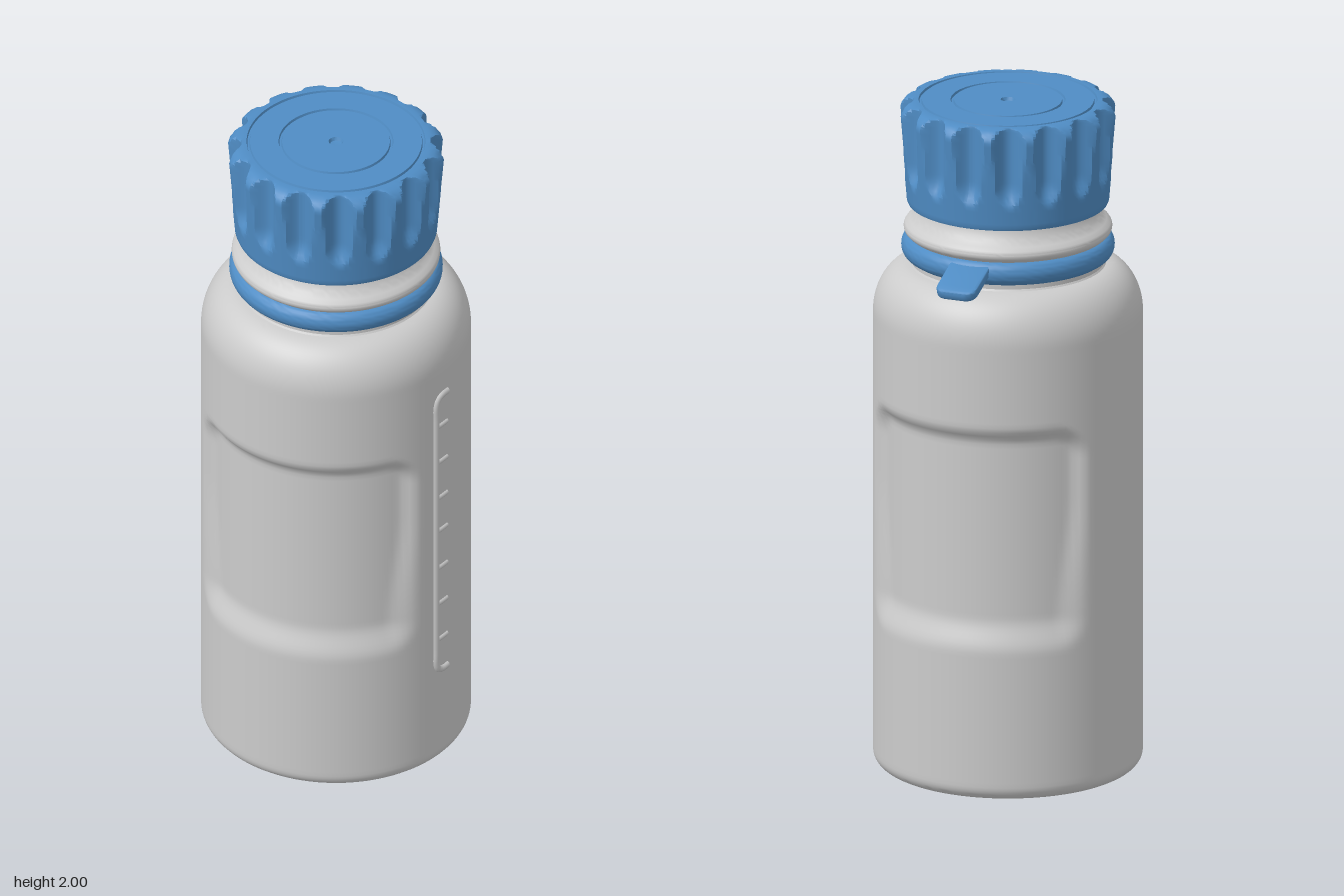
import * as THREE from 'three';
import { mergeVertices, toCreasedNormals } from 'three/addons/utils/BufferGeometryUtils.js';

const R = 0.388; // body radius
const grey = new THREE.MeshStandardMaterial({ color: 0xcccccc });
const blue = new THREE.MeshStandardMaterial({ color: 0x4f8cc4 });

const mesh = (name, geometry, material) => {
  const m = new THREE.Mesh(geometry, material);
  m.name = name;
  return m;
};

// Splits long vertical runs of a profile so that a rule can shape them
function subdivide(points, step) {
  const out = [];
  points.forEach(([r, y], i) => {
    if (i) {
      const [r0, y0] = points[i - 1];
      const n = Math.max(1, Math.ceil(Math.abs(y - y0) / step));
      for (let k = 1; k < n; k++) out.push(new THREE.Vector2(r0 + (r - r0) * k / n, y0 + (y - y0) * k / n));
    }
    out.push(new THREE.Vector2(r, y));
  });
  return out;
}

// Turned part whose radius may be changed by rule(radius, y, angle)
function turned(points, segments, step, rule, crease = 0.6) {
  let g = new THREE.LatheGeometry(subdivide(points, step), segments);
  const p = g.attributes.position;
  if (rule) for (let i = 0; i < p.count; i++) {
    const x = p.getX(i), y = p.getY(i), z = p.getZ(i);
    const r = Math.hypot(x, z);
    if (r < 1e-4) continue;
    const k = rule(r, y, Math.atan2(x, z)) / r;
    p.setXYZ(i, x * k, y, z * k);
  }
  g.deleteAttribute('uv');
  g.deleteAttribute('normal');
  g = mergeVertices(g, 1e-5);
  return toCreasedNormals(g, crease);
}

// Points on a circular arc, angles in degrees
const arc = (cr, cy, rr, ry, from, to, n) => Array.from({ length: n + 1 }, (_, i) => {
  const a = THREE.MathUtils.degToRad(from + (to - from) * i / n);
  return [cr + rr * Math.cos(a), cy + ry * Math.sin(a)];
});

// Rounded rectangular grip panels, pressed into front and back
function gripPanel(r, y, angle) {
  if (y < 0.35 || y > 1.2) return r;
  const a = Math.abs(angle);
  const u = Math.min(a, Math.PI - a) * R;
  const corner = 0.1;
  const qx = u - 0.395 + corner, qy = Math.abs(y - 0.785) - 0.34 + corner;
  const d = Math.hypot(Math.max(qx, 0), Math.max(qy, 0)) + Math.min(Math.max(qx, qy), 0) - corner;
  const soft = THREE.MathUtils.lerp(0.1, 0.05, THREE.MathUtils.smoothstep(y, 0.5, 0.9));
  return r - 0.028 * THREE.MathUtils.smoothstep(-d, 0, soft);
}

// Sixteen scooped flutes that run out towards the lower rim
function flutes(r, y, angle) {
  if (y < 1.7 || r < 0.268) return r;
  const pitch = Math.PI / 8;
  const a = (angle - Math.round(angle / pitch) * pitch) * 0.3;
  const runOut = 0.022 * Math.max(0, (1.83 - y) / 0.06) ** 2;
  return Math.min(r, 0.272 + 20 * a * a + runOut);
}

// Bracket and tick marks wrapped on the body's left side
function scale() {
  const group = new THREE.Group();
  group.name = 'volumeScale';
  const onBody = (z, y) => new THREE.Vector3(Math.sqrt(R * R - z * z) - 0.003, y, z);
  const line = (name, pts, radius, n) => {
    const curve = new THREE.CatmullRomCurve3(pts.map(([z, y]) => onBody(z, y)), false, 'centripetal');
    group.add(mesh(name, new THREE.TubeGeometry(curve, n, radius, 8), grey));
  };
  line('scaleBracket', [[0.09, 1.28], [0.115, 1.28], [0.132, 1.272], [0.14, 1.25], [0.14, 1.2], [0.14, 0.8],
    [0.14, 0.4], [0.14, 0.35], [0.132, 0.328], [0.115, 0.32], [0.09, 0.32]], 0.012, 100);
  for (const y of [1.175, 1.05, 0.925, 0.81, 0.68, 0.555, 0.43])
    line('scaleTick', [[0.135, y], [0.115, y], [0.092, y]], 0.009, 6);
  return group;
}

// Pull tab with rounded outer corners
function tab() {
  const w = 0.054, len = 0.133, c = 0.028;
  const s = new THREE.Shape();
  s.moveTo(-w, 0);
  s.lineTo(w, 0);
  s.lineTo(w, len - c);
  s.quadraticCurveTo(w, len, w - c, len);
  s.lineTo(-w + c, len);
  s.quadraticCurveTo(-w, len, -w, len - c);
  s.closePath();
  const g = new THREE.ExtrudeGeometry(s, {
    depth: 0.014, bevelSize: 0.008, bevelThickness: 0.008, bevelSegments: 4, curveSegments: 8,
  });
  g.rotateX(-Math.PI / 2 - 0.36);
  g.translate(0, 1.57, -0.281);
  return toCreasedNormals(g, 0.6);
}

export function createModel() {
  const model = new THREE.Group();
  model.name = 'bottle';
  const axis = new THREE.Group();
  axis.name = 'bottleParts';
  axis.position.z = 0.012;
  model.add(axis);

  // Body with dished base, shoulder, neck flange and mouth
  const body = [
    [0, 0.022], [0.3, 0.018], [0.325, 0.01], [0.335, 0.001],
    ...arc(0.346, 0.042, 0.042, 0.042, -90, 0, 8),
    ...arc(0.278, 1.365, 0.11, 0.145, 0, 88, 16),
    [0.278, 1.515], [0.278, 1.59],
    ...arc(0.28, 1.62, 0.02, 0.02, -70, 40, 6),
    [0.272, 1.652], [0.262, 1.668], [0.257, 1.68], [0.25, 1.71], [0.25, 1.93], [0.22, 1.93], [0, 1.93],
  ];
  axis.add(mesh('body', turned(body, 144, 0.014, gripPanel), grey));
  axis.add(scale());

  // Retaining band with its tab
  const band = [
    [0.272, 1.535], [0.285, 1.53],
    ...arc(0.28, 1.565, 0.027, 0.034, -70, 70, 12),
    [0.272, 1.6], [0.272, 1.535],
  ];
  axis.add(mesh('retainingBand', turned(band, 96, 1), blue));
  axis.add(mesh('pullTab', tab(), blue));

  // Hollow fluted cap, from the inside ceiling round to the top
  const groove = (r) => [[r + 0.005, 2], [r + 0.003, 1.993], [r - 0.003, 1.993], [r - 0.005, 2]];
  const cap = [
    [0, 1.945], [0.262, 1.945], [0.262, 1.7], [0.288, 1.695], [0.291, 1.702],
    [0.313, 1.965], [0.31, 1.975], [0.3, 1.988], [0.288, 1.996], [0.272, 2],
    ...groove(0.252), ...groove(0.16),
    [0.021, 2], [0.017, 1.99], [0, 1.988],
  ];
  axis.add(mesh('cap', turned(cap, 192, 0.012, flutes, 0.5), blue));

  return model;
}
